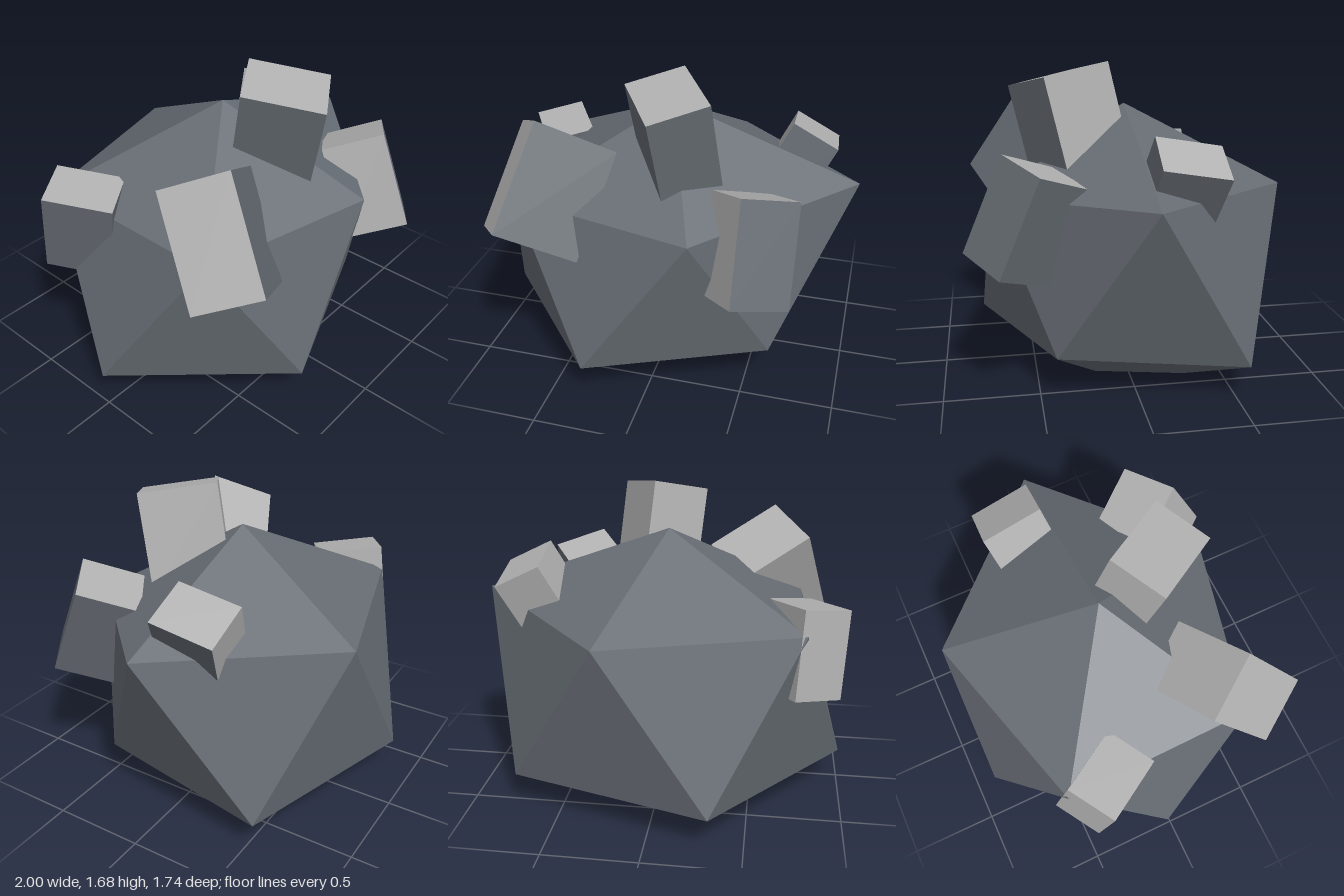
import * as THREE from 'three';

const slate = new THREE.MeshStandardMaterial({ color: 0x666c73, flatShading: true });
slate.name = 'slate grey';
const pale = new THREE.MeshStandardMaterial({ color: 0xb0b0b0, flatShading: true });
pale.name = 'pale grey';

const vec = (a) => new THREE.Vector3(...a);

// Faceted boulder: apex, two staggered rings of five, and a flat cut base
function makeBoulder() {
  const apex = vec([-0.02, 1.45, -0.03]);
  const upper = [[1, 1.085, -0.03], [0.25, 1.01, 0.72], [-0.75, 1.02, 0.49],
    [-0.77, 1.045, -0.55], [0.25, 1.03, -0.84]].map(vec);
  const lower = [[0.63, 0.25, 0.42], [-0.31, 0.21, 0.78], [-1, 0.18, -0.03],
    [-0.32, 0.185, -0.88], [0.75, 0.185, -0.56]].map(vec);
  // Lower ring converges on a point below ground, clipped at y = 0
  const root = vec([0, -0.2, -0.01]);
  const base = lower.map((p) => p.clone().lerp(root, p.y / (p.y - root.y)));
  const middle = vec([0, 0, 0]);

  const points = [];
  for (let k = 0; k < 5; k++) {
    const n = (k + 1) % 5;
    points.push(apex, upper[n], upper[k]);
    points.push(upper[k], upper[n], lower[k]);
    points.push(lower[k], upper[n], lower[n]);
    points.push(lower[k], lower[n], base[n], lower[k], base[n], base[k]);
    points.push(middle, base[k], base[n]);
  }
  const geometry = new THREE.BufferGeometry().setFromPoints(points);
  geometry.computeVertexNormals();
  const mesh = new THREE.Mesh(geometry, slate);
  mesh.name = 'boulder';
  return mesh;
}

// Block hanging below a top face given by one corner and two edges;
// the two sides meeting at that corner and the underside are slate
function makeBlock(name, corner, edgeU, edgeV, depth) {
  const u = vec(edgeU), v = vec(edgeV);
  const up = u.clone().cross(v).normalize();
  const centre = vec(corner).addScaledVector(u, 0.5).addScaledVector(v, 0.5)
    .addScaledVector(up, -depth / 2);
  const matrix = new THREE.Matrix4()
    .makeBasis(u, up.multiplyScalar(depth), v.clone().negate())
    .setPosition(centre);
  const geometry = new THREE.BoxGeometry(1, 1, 1).applyMatrix4(matrix);
  const mesh = new THREE.Mesh(geometry, [pale, slate, pale, slate, slate, pale]);
  mesh.name = name;
  return mesh;
}

export function createModel() {
  const group = new THREE.Group();
  group.name = 'rock with blocks';
  group.add(makeBoulder());

  const blocks = [
    ['topBlock', [0.02, 1.56, 0.6], [0.27, 0.065, -0.17], [-0.22, 0.06, -0.36], 0.55],
    ['frontLeftBlock', [0.75, 1.21, 0.49], [-0.19, -0.11, -0.26], [-0.26, 0.07, 0.17], 0.53],
    ['frontRightBlock', [-0.22, 1.28, 0.33], [-0.2, -0.13, -0.28], [-0.36, 0.21, 0.18], 0.6],
    ['backLeftBlock', [0.87, 1.25, -0.06], [-0.02, -0.06, -0.34], [-0.24, 0.12, -0.01], 0.45],
    ['backRightBlock', [-0.79, 1.1, -0.08], [0.23, 0.04, -0.15], [-0.19, 0.04, -0.31], 0.46],
  ];
  for (const block of blocks) group.add(makeBlock(...block));
  return group;
}
